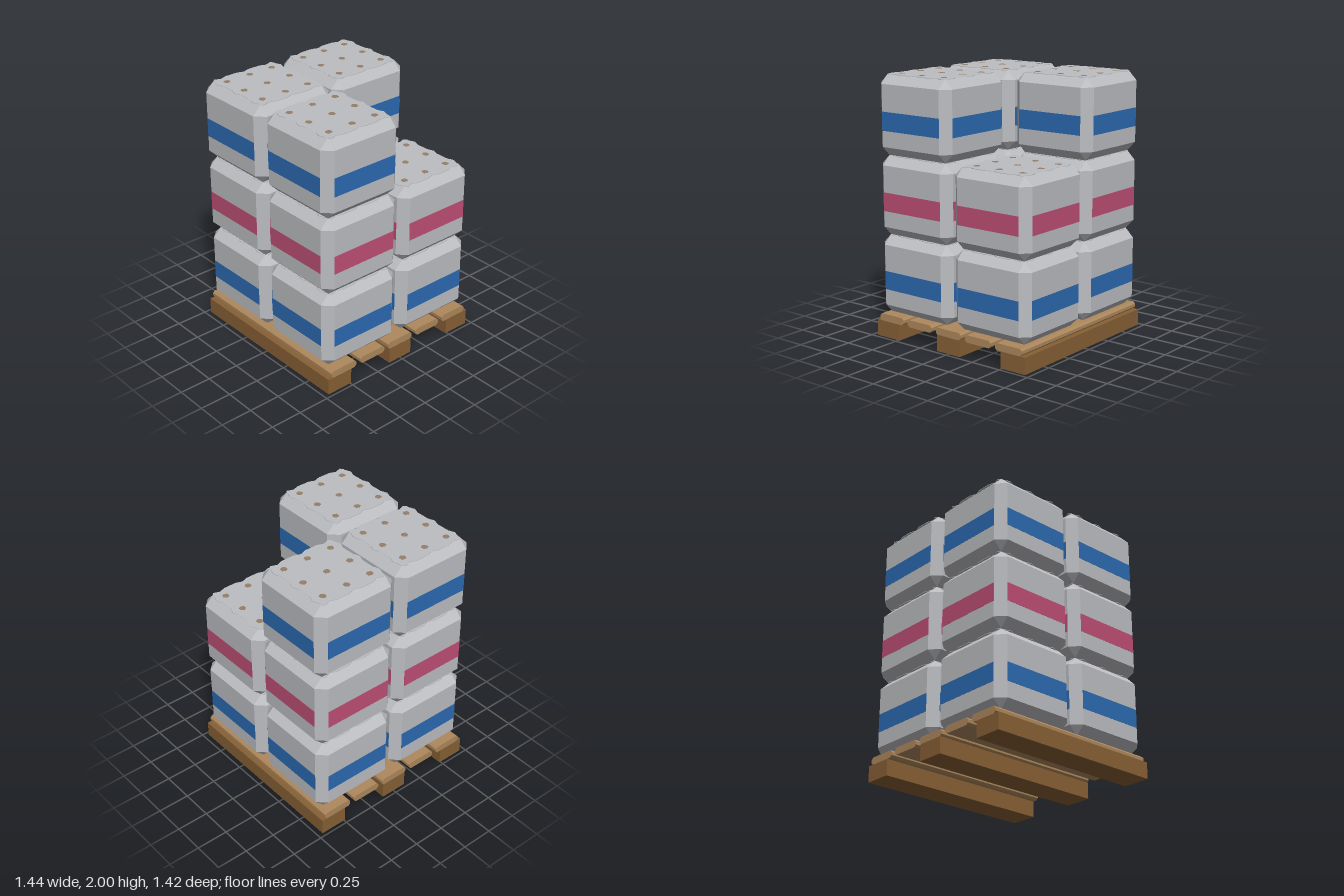
import * as THREE from 'three';
import { ConvexGeometry } from 'three/addons/geometries/ConvexGeometry.js';

const mat = (name, color) => Object.assign(new THREE.MeshStandardMaterial({ color }), { name });

const SIZE = 0.69, HEIGHT = 0.605, BEVEL = 0.068, BASE = 0.185, CENTRE = 0.358;
const STUDS = [-0.207, 0, 0.207];

function add(parent, name, geometry, material, x = 0, y = 0, z = 0) {
  const mesh = new THREE.Mesh(geometry, material);
  mesh.name = name;
  mesh.position.set(x, y, z);
  parent.add(mesh);
  return mesh;
}

// Box with every edge cut at 45 degrees, standing on y = 0
function bevelledBox(w, h, d, c) {
  const pts = [];
  for (const sx of [-1, 1]) for (const sy of [-1, 1]) for (const sz of [-1, 1])
    for (let axis = 0; axis < 3; axis++) {
      const cut = [0, 1, 2].map(i => (i === axis ? 0 : c));
      pts.push(new THREE.Vector3(
        sx * (w / 2 - cut[0]), h / 2 + sy * (h / 2 - cut[1]), sz * (d / 2 - cut[2])));
    }
  return new ConvexGeometry(pts);
}

// Thin cover: bumps beside the studs on front and back, notches on the sides
function coverGeometry(thickness) {
  const a = SIZE / 2 - BEVEL, b = a + 0.019, r = 0.05;
  const bumps = [], notches = [];
  for (const s of STUDS) {
    bumps.push([s - r, a], [s, b], [s + r, a]);
    notches.push([s - r, b], [s, a], [s + r, b]);
  }
  const outline = [
    [-a, -a], ...bumps.map(([t, o]) => [t, -o]),
    [a, -a], ...notches.map(([t, o]) => [o, t]),
    [a, a], ...bumps.map(([t, o]) => [-t, o]),
    [-a, a], ...notches.map(([t, o]) => [-o, -t]),
  ];
  const shape = new THREE.Shape(outline.map(p => new THREE.Vector2(...p)));
  return new THREE.ExtrudeGeometry(shape, { depth: thickness, bevelEnabled: false })
    .rotateX(-Math.PI / 2);
}

// Plank with cut corners, running along x
function plankGeometry(length, h, w, c) {
  const x = w / 2, y = h / 2;
  const shape = new THREE.Shape([
    [-x + c, -y], [x - c, -y], [x, -y + c], [x, y - c],
    [x - c, y], [-x + c, y], [-x, y - c], [-x, -y + c],
  ].map(p => new THREE.Vector2(...p)));
  return new THREE.ExtrudeGeometry(shape, { depth: length, bevelEnabled: false })
    .translate(0, 0, -length / 2).rotateY(Math.PI / 2);
}

export function createModel() {
  const model = new THREE.Group();
  model.name = 'loadedPallet';

  const grey = mat('bale grey', 0xbcbdc1);
  const blue = mat('band blue', 0x2c6ab2);
  const pink = mat('band pink', 0xbe4f74);
  const tan = mat('stud tan', 0x958068);
  const plankWood = mat('plank wood', 0xae885c);
  const skidWood = mat('skid wood', 0x876035);

  // Pallet
  const pallet = new THREE.Group();
  pallet.name = 'pallet';
  model.add(pallet);
  const skid = new THREE.BoxGeometry(1.444, 0.127, 0.218);
  for (const z of [-0.6, 0, 0.6]) add(pallet, 'skid', skid, skidWood, 0, 0.0635, z);
  const plank = plankGeometry(1.444, 0.056, 0.238, 0.016);
  for (let i = -2; i <= 2; i++) add(pallet, 'plank', plank, plankWood, 0, 0.154, i * 0.28);

  // Shared bale parts
  const body = bevelledBox(SIZE, HEIGHT - 0.002, SIZE, BEVEL);
  const cover = coverGeometry(0.004);
  const stud = new THREE.CylinderGeometry(0.027, 0.027, 0.004, 6).rotateY(Math.PI / 6);
  const flat = SIZE - 2 * BEVEL;
  const band = new THREE.BoxGeometry(flat, 0.142, 0.004);

  function bale(bandMaterial) {
    const group = new THREE.Group();
    group.name = 'bale';
    add(group, 'baleBody', body, grey);
    add(group, 'cover', cover, grey, 0, HEIGHT - 0.005, 0);
    for (let i = 0; i < 4; i++) {
      const angle = i * Math.PI / 2, r = SIZE / 2 - 0.0005;
      add(group, 'band', band, bandMaterial, Math.sin(angle) * r, 0.26, Math.cos(angle) * r)
        .rotation.y = angle;
    }
    for (const x of STUDS) for (const z of STUDS)
      add(group, 'stud', stud, tan, x, HEIGHT - 0.002, z);
    return group;
  }

  // Three layers of four; the back left place of the top layer is empty
  for (let layer = 0; layer < 3; layer++)
    for (const sx of [-1, 1]) for (const sz of [-1, 1]) {
      if (layer === 2 && sx === 1 && sz === -1) continue;
      const b = bale(layer === 1 ? pink : blue);
      b.position.set(sx * CENTRE, BASE + layer * HEIGHT, sz * CENTRE);
      model.add(b);
    }

  return model;
}
